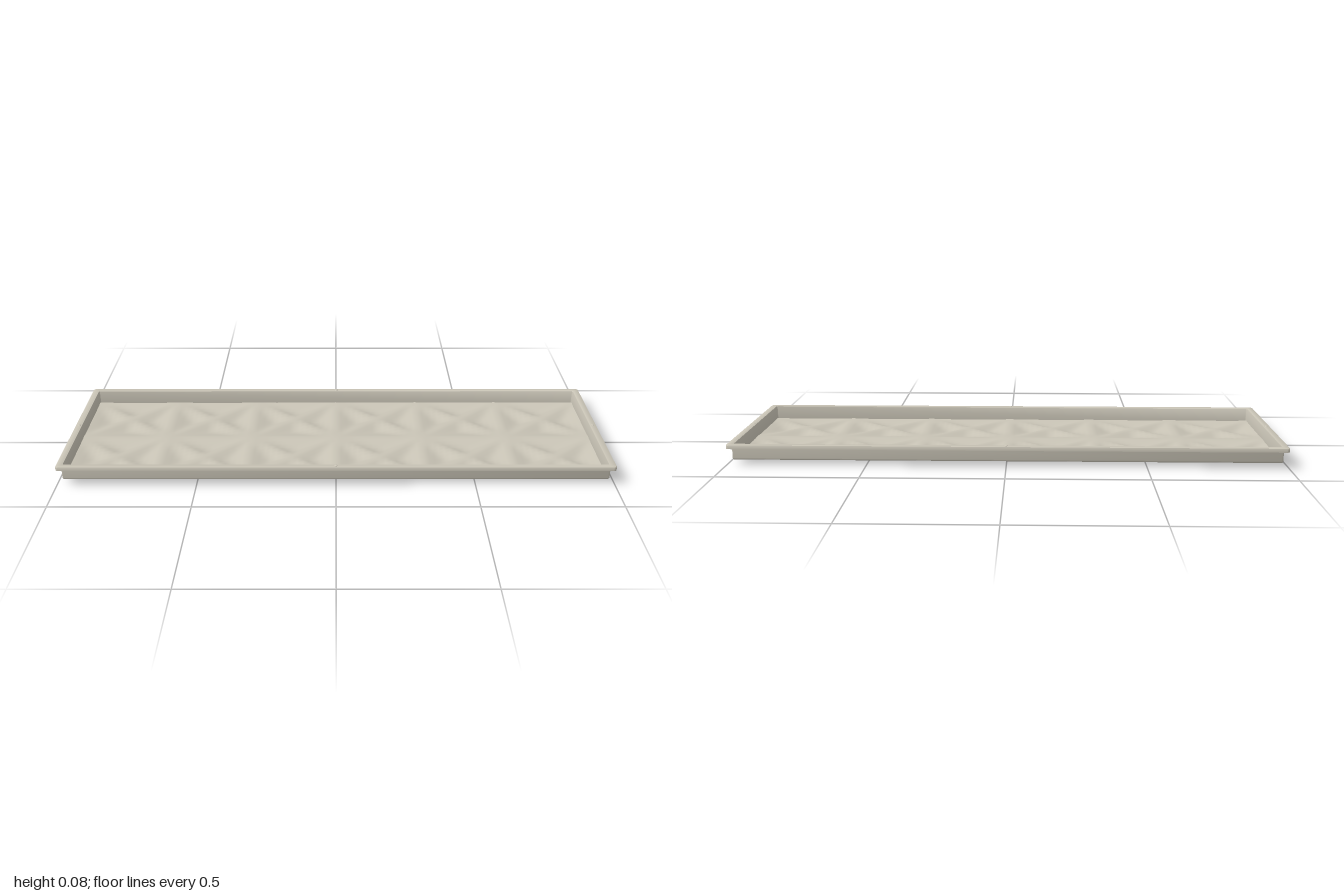
import * as THREE from 'three';
import { toCreasedNormals } from 'three/addons/utils/BufferGeometryUtils.js';

const HALF_X = 1, HALF_Z = 0.35;

// Rounded rectangle, inset from the outer edge, as [x, z] points
function rectLoop(inset, steps = 4) {
  const r = Math.max(0.004, 0.012 - inset * 0.3);
  const cx = HALF_X - inset - r, cz = HALF_Z - inset - r;
  const points = [];
  [[1, 1], [-1, 1], [-1, -1], [1, -1]].forEach(([sx, sz], q) => {
    for (let i = 0; i <= steps; i++) {
      const t = (q + i / steps) * Math.PI / 2;
      points.push([sx * cx + r * Math.cos(t), sz * cz + r * Math.sin(t)]);
    }
  });
  return points;
}

// Sweep a profile of [inset, y] around the rectangle
function sweepRect(profile) {
  const position = [], index = [];
  profile.forEach(([inset, y]) => rectLoop(inset).forEach(([x, z]) => position.push(x, y, z)));
  const n = position.length / 3 / profile.length;
  for (let i = 0; i < profile.length - 1; i++) {
    for (let j = 0; j < n; j++) {
      const k = (j + 1) % n;
      const a = i * n + j, b = i * n + k, c = b + n, d = a + n;
      index.push(a, d, c, a, c, b);
    }
  }
  const geometry = new THREE.BufferGeometry();
  geometry.setAttribute('position', new THREE.Float32BufferAttribute(position, 3));
  geometry.setIndex(index);
  return toCreasedNormals(geometry, 0.6);
}

// Four pits per cell, divided by diagonal ridges; u and v count cells
function pitDepth(u, v) {
  const p = Math.abs(u - Math.floor(u) - 0.5), q = Math.abs(v - Math.floor(v) - 0.5);
  const a = Math.max(p, q), b = Math.min(p, q);
  return 4 * Math.min(a - b, 0.5 - a);
}

function softPitDepth(u, v) {
  let sum = 0;
  for (let i = -1; i <= 1; i++) {
    for (let j = -1; j <= 1; j++) sum += pitDepth(u + i * 0.025, v + j * 0.025);
  }
  return sum / 9;
}

// Pressed sheet of 6 by 2 cells, facing up or down
function pressedSheet(facing, base) {
  const width = 1.96, depth = 0.66;
  const geometry = new THREE.PlaneGeometry(width, depth, 6 * 16, 2 * 16);
  geometry.rotateX(-facing * Math.PI / 2);
  const p = geometry.attributes.position;
  for (let i = 0; i < p.count; i++) {
    const u = p.getX(i) / (width / 6), v = p.getZ(i) / (depth / 2);
    p.setY(i, base - 0.0219 * softPitDepth(u, v));
  }
  geometry.computeVertexNormals();
  return geometry;
}

export function createModel() {
  const tray = new THREE.Group();
  tray.name = 'tray';
  const stone = new THREE.MeshStandardMaterial({ color: 0xc9c4b6 });
  stone.name = 'warm grey';

  const add = (name, geometry) => {
    const mesh = new THREE.Mesh(geometry, stone);
    mesh.name = name;
    tray.add(mesh);
    return mesh;
  };

  // Wall with a turned-down lip
  add('wallAndRim', sweepRect([
    [0.021, 0.017], [0.019, 0.019], [0.018, 0.023], [0.018, 0.069],
    [0.006, 0.069], [0.006, 0.06], [0, 0.06], [0, 0.072],
    [0.001, 0.074], [0.003, 0.075], [0.022, 0.075], [0.024, 0.074],
    [0.025, 0.072], [0.026, 0.02],
  ]));

  // Floor
  add('floorUnderside', pressedSheet(-1, 0.0195));
  add('floorTop', pressedSheet(1, 0.0255));

  // Small bumps at the middle of each rim side
  const bump = new THREE.SphereGeometry(0.006, 12, 6, 0, Math.PI * 2, 0, Math.PI / 2);
  bump.scale(1, 0.4, 1);
  for (const [x, z] of [[0, 0.336], [0, -0.336], [0.986, 0], [-0.986, 0]]) {
    add('rimBump', bump).position.set(x, 0.075, z);
  }
  return tray;
}
